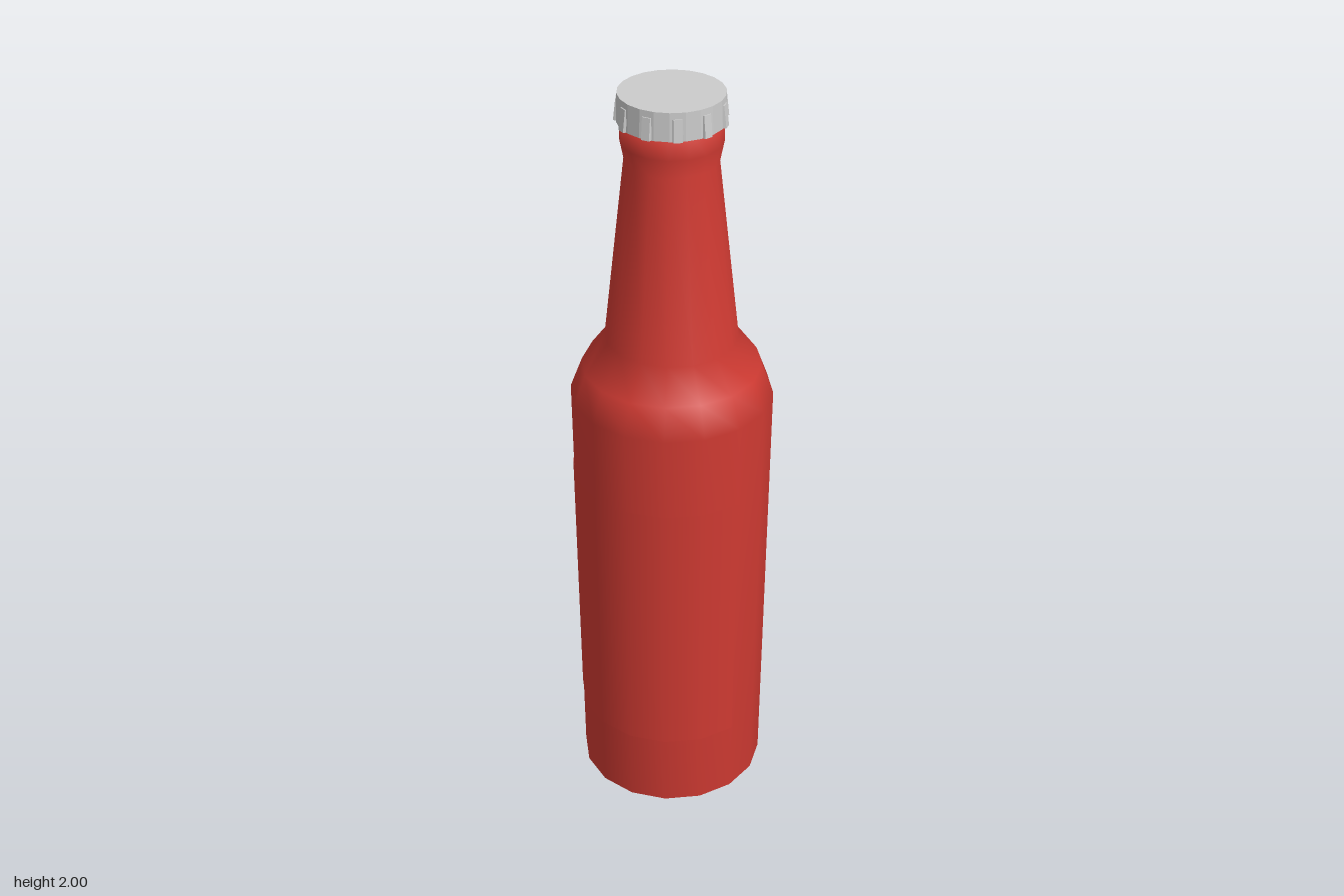
import * as THREE from 'three';

const SIDES = 16;
const CRIMPS = 11;
const CAP_TURN = 0.197;

function lathe(name, profile, material, start, segments, length) {
  const points = profile.map(([r, y]) => new THREE.Vector2(r, y));
  const mesh = new THREE.Mesh(new THREE.LatheGeometry(points, segments, start, length), material);
  mesh.name = name;
  return mesh;
}

// One crimp: a small block that flares outward and narrows towards its face
function crimpGeometry() {
  const geometry = new THREE.BoxGeometry(0.034, 0.054, 0.02);
  const p = geometry.attributes.position;
  for (let i = 0; i < p.count; i++) {
    const outer = p.getZ(i) > 0;
    const top = p.getY(i) > 0;
    if (outer) p.setX(i, p.getX(i) * 0.6);
    p.setZ(i, outer ? (top ? 0.13 : 0.136) : 0.115);
  }
  geometry.translate(0, 1.957, 0);
  geometry.computeVertexNormals();
  return geometry;
}

export function createModel() {
  const model = new THREE.Group();
  const glass = new THREE.MeshStandardMaterial({ color: 0xcf3a32 });
  const paper = new THREE.MeshStandardMaterial({ color: 0xcf3a32, side: THREE.DoubleSide });
  const metal = new THREE.MeshStandardMaterial({ color: 0xcccccc, flatShading: true });
  const step = (Math.PI * 2) / SIDES;

  // Bottle body, shoulder, neck and lip
  model.add(lathe('bottle', [
    [0, 0.004], [0.185, 0.004], [0.242, 0.045], [0.255, 1.2], [0.225, 1.28],
    [0.166, 1.36], [0.114, 1.83], [0.124, 1.88], [0.123, 1.95], [0, 1.95],
  ], glass, step / 2, SIDES, Math.PI * 2));

  // Thin label around the front half
  model.add(lathe('label', [[0.2463, 0.25], [0.2545, 0.98]], paper, -3.5 * step, 7, 7 * step));

  // Crown cap with crimped skirt
  const cap = new THREE.Group();
  cap.name = 'cap';
  const crown = new THREE.Mesh(
    new THREE.CylinderGeometry(0.128, 0.13, 0.07, CRIMPS * 2, 1, false, Math.PI / (CRIMPS * 2)), metal);
  crown.name = 'crown';
  crown.position.y = 1.965;
  cap.add(crown);
  const crimpShape = crimpGeometry();
  for (let i = 0; i < CRIMPS; i++) {
    const crimp = new THREE.Mesh(crimpShape, metal);
    crimp.name = 'crimp';
    crimp.rotation.y = (i * Math.PI * 2) / CRIMPS;
    cap.add(crimp);
  }
  cap.rotation.y = CAP_TURN;
  model.add(cap);

  return model;
}
